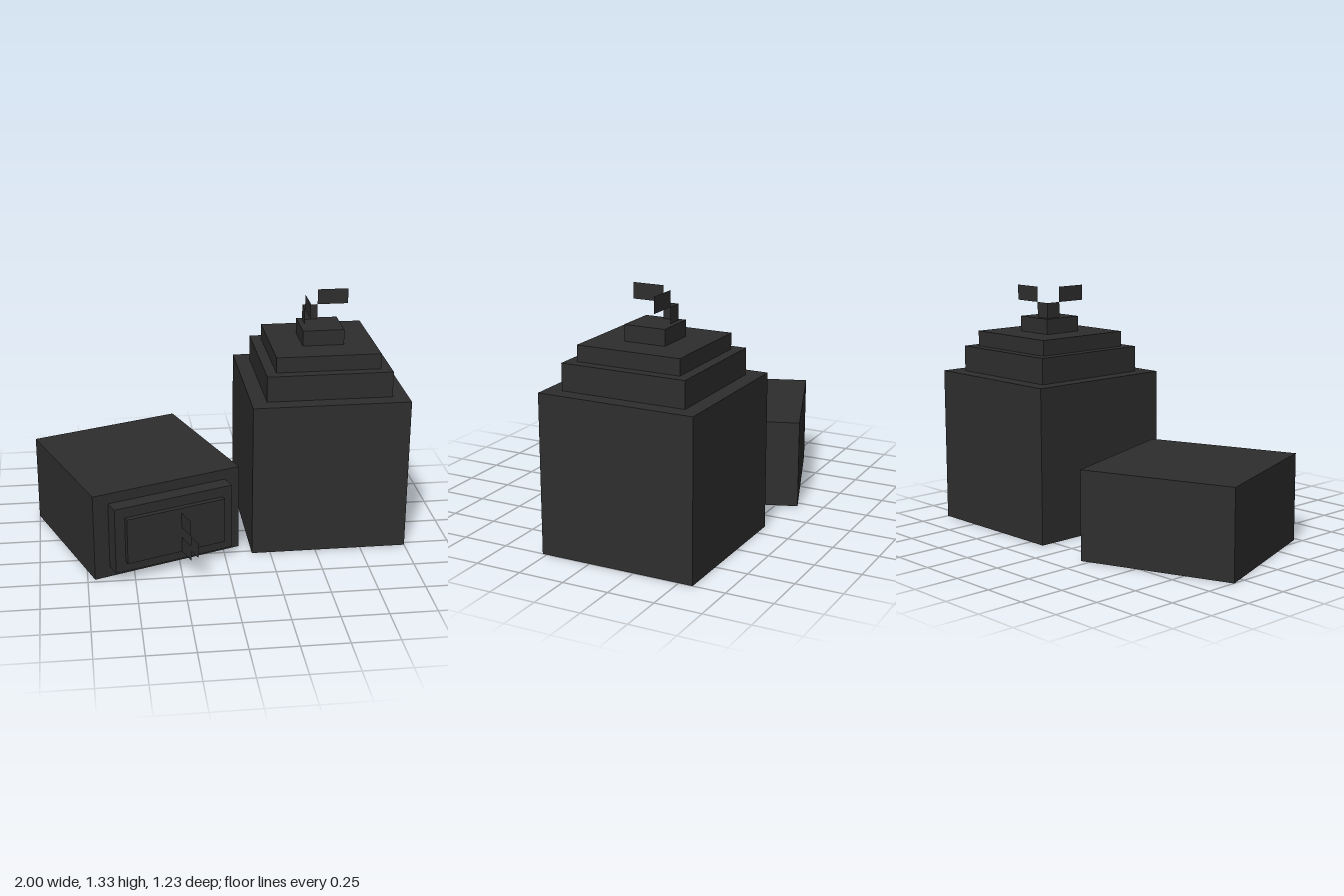
import * as THREE from 'three';

const PX = 0.85 / 30; // grid step that every part is sized in

export function createModel() {
  const charcoal = new THREE.MeshStandardMaterial({ color: 0x2e2e2e, side: THREE.DoubleSide });
  charcoal.name = 'charcoal';

  // Box sized in grid steps; x, y, z give its centre
  function box(parent, name, w, h, d, x, y, z) {
    const mesh = new THREE.Mesh(new THREE.BoxGeometry(w * PX, h * PX, d * PX), charcoal);
    mesh.name = name;
    mesh.position.set(x * PX, y * PX, z * PX);
    parent.add(mesh);
  }

  // Thin upright sheet spanning a..b along an axis and y0..y1, at a fixed offset on the other axis
  function sheet(parent, name, axis, a, b, y0, y1, offset) {
    const mesh = new THREE.Mesh(new THREE.PlaneGeometry((b - a) * PX, (y1 - y0) * PX), charcoal);
    mesh.name = name;
    const mid = (a + b) / 2;
    if (axis === 'z') mesh.rotation.y = Math.PI / 2;
    mesh.position.set((axis === 'x' ? mid : offset) * PX, (y0 + y1) / 2 * PX, (axis === 'x' ? offset : mid) * PX);
    parent.add(mesh);
  }

  const model = new THREE.Group();
  model.name = 'steppedBlocks';

  // Tall block with stepped lid
  const tall = new THREE.Group();
  tall.name = 'tallBlock';
  tall.position.set(0.575, 0, -0.15);
  model.add(tall);
  let y = 0;
  for (const [name, width, height] of [
    ['tallBody', 30, 30], ['lowerStep', 24, 5], ['upperStep', 20, 3], ['topKnob', 8, 3],
  ]) {
    box(tall, name, width, height, width, 0, y + height / 2, 0);
    y += height;
  }
  // Cut sheets on top, mirrored across the diagonal
  for (const axis of ['x', 'z']) {
    sheet(tall, 'topStem', axis, -3, 0, y, y + 3, -3);
    sheet(tall, 'topFlag', axis, 0, 6, y + 3, y + 6, -3);
  }

  // Low block turned to the side, with a stepped front
  const low = new THREE.Group();
  low.name = 'lowBlock';
  low.position.set(-0.457, 0, -0.07);
  low.rotation.y = THREE.MathUtils.degToRad(20);
  model.add(low);
  box(low, 'lowBody', 30, 17, 30, 0, 8.5, 0);
  box(low, 'outerFrontStep', 24, 13, 3, 0, 8.5, 16.5);
  box(low, 'innerFrontStep', 20, 9, 1, 0, 8.5, 18.5);
  // Clasp sheets
  sheet(low, 'claspUpper', 'z', 19, 23, 9, 12, 1);
  sheet(low, 'claspLower', 'z', 19, 23, 4, 7, 1);
  sheet(low, 'claspTip', 'z', 23, 26, 6, 9, 1);

  return model;
}
